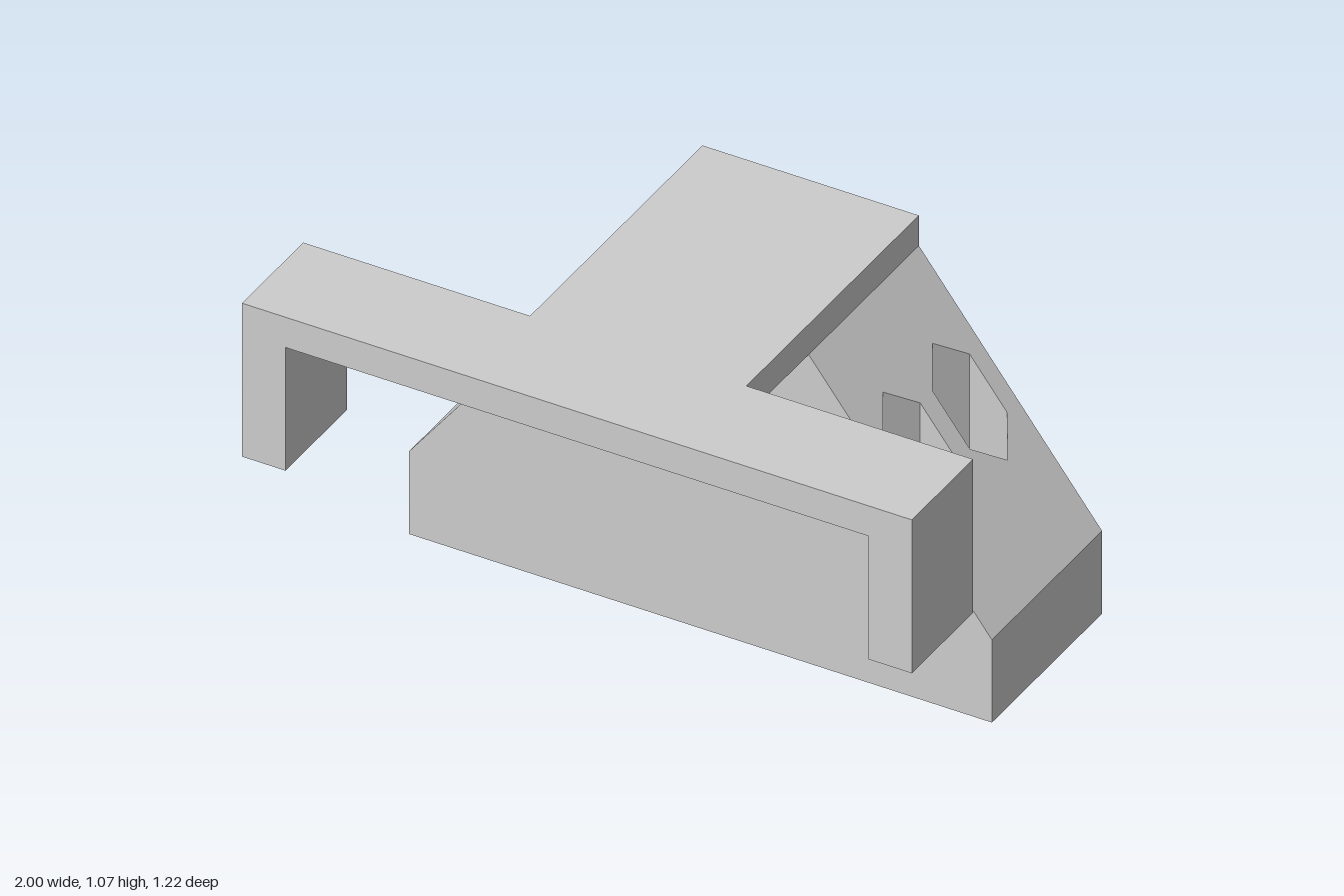
import * as THREE from 'three';
import { toCreasedNormals } from 'three/addons/utils/BufferGeometryUtils.js';

const BACK = -0.61, BLOCK_FRONT = -0.035, FRONT = 0.61;
const BASE_H = 0.26, PLATE_Y = 0.97, TOP_Y = 1.065;
const TOP_X = 0.323, BASE_X = 0.87;
const BOLT_X = 0.565, BOLT_Z = [-0.453, -0.195];

export function createModel() {
  const group = new THREE.Group();
  const grey = new THREE.MeshStandardMaterial({ color: 0xcccccc });
  grey.name = 'light grey';

  const add = (name, geometry) => {
    const mesh = new THREE.Mesh(geometry, grey);
    mesh.name = name;
    group.add(mesh);
  };
  const box = (name, x0, x1, y0, y1, z0, z1) => {
    const g = new THREE.BoxGeometry(x1 - x0, y1 - y0, z1 - z0);
    g.translate((x0 + x1) / 2, (y0 + y1) / 2, (z0 + z1) / 2);
    add(name, g);
  };
  // Plan outlines are given as [x, z] and raised from y0 to y1
  const plan = (points) => new THREE.Shape(points.map(([x, z]) => new THREE.Vector2(x, -z)));
  const raise = (shape, y0, y1) => {
    const g = new THREE.ExtrudeGeometry(shape, { depth: y1 - y0, bevelEnabled: false, curveSegments: 32 });
    g.rotateX(-Math.PI / 2);
    g.translate(0, y0, 0);
    return g;
  };
  const rect = (x0, x1, z0, z1) => plan([[x0, z0], [x1, z0], [x1, z1], [x0, z1]]);

  // Base slab with four round bolt holes
  const base = rect(-BASE_X, BASE_X, BACK, BLOCK_FRONT);
  for (const s of [-1, 1]) for (const z of BOLT_Z) {
    base.holes.push(new THREE.Path().absarc(s * BOLT_X, -z, 0.058, 0, Math.PI * 2));
  }
  add('base', toCreasedNormals(raise(base, 0, BASE_H), 0.6));

  // Upright core between the slopes
  box('core', -TOP_X, TOP_X, BASE_H, PLATE_Y, BACK, BLOCK_FRONT);

  // Sloping shoulders with hexagonal nut pockets: the top is sheared down to the slope
  for (const s of [-1, 1]) {
    const shoulder = rect(s * TOP_X, s * BASE_X, BACK, BLOCK_FRONT);
    for (const z of BOLT_Z) {
      const hex = [];
      for (let i = 0; i < 6; i++) {
        const a = i * Math.PI / 3;
        hex.push(new THREE.Vector2(s * BOLT_X + 0.112 * Math.cos(a), -z + 0.097 / Math.sin(Math.PI / 3) * Math.sin(a)));
      }
      shoulder.holes.push(new THREE.Path(hex));
    }
    const g = raise(shoulder, BASE_H, PLATE_Y);
    const p = g.attributes.position;
    for (let i = 0; i < p.count; i++) {
      if (p.getY(i) > BASE_H + 0.1) {
        const t = (Math.abs(p.getX(i)) - TOP_X) / (BASE_X - TOP_X);
        p.setY(i, PLATE_Y + (BASE_H - PLATE_Y) * t);
      }
    }
    g.computeVertexNormals();
    add(s > 0 ? 'leftShoulder' : 'rightShoulder', g);
  }

  // T-shaped top plate
  add('topPlate', raise(plan([
    [-TOP_X, BACK], [TOP_X, BACK], [TOP_X, 0.29], [1, 0.29],
    [1, FRONT], [-1, FRONT], [-1, 0.29], [-TOP_X, 0.29],
  ]), PLATE_Y, TOP_Y));

  // Hanging arms at both ends of the crossbar
  box('leftArm', BASE_X, 1, 0.583, PLATE_Y, 0.29, FRONT);
  box('rightArm', -1, -BASE_X, 0.583, PLATE_Y, 0.29, FRONT);

  return group;
}
